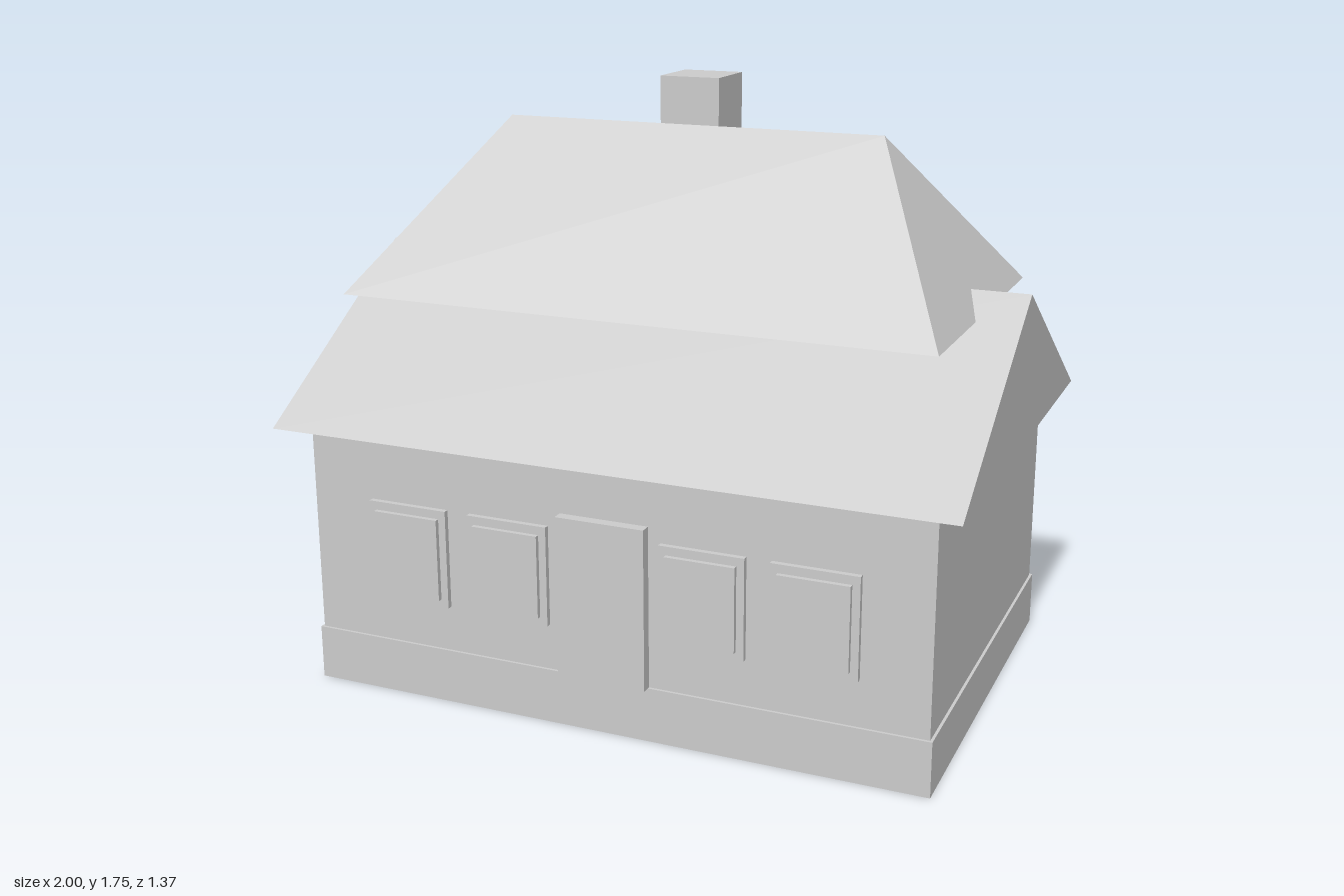
import * as THREE from 'three';

export function createModel() {
  const house = new THREE.Group();
  house.name = 'house';
  const grey = new THREE.MeshStandardMaterial({ color: 0xcccccc });
  grey.name = 'plain grey';

  const add = (name, geometry, parent = house) => {
    const mesh = new THREE.Mesh(geometry, grey);
    mesh.name = name;
    parent.add(mesh);
    return mesh;
  };

  // Box given by its lower and upper limits on each axis
  const block = (name, [x0, x1], [y0, y1], [z0, z1], parent) => {
    const mesh = add(name, new THREE.BoxGeometry(x1 - x0, y1 - y0, z1 - z0), parent);
    mesh.position.set((x0 + x1) / 2, (y0 + y1) / 2, (z0 + z1) / 2);
    return mesh;
  };

  // Closed roof: rectangular eaves rising to a ridge along x
  const roof = (name, eaveX, eaveZ, eaveY, ridgeX, ridgeY) => {
    const a = [-eaveX, eaveY, eaveZ], b = [eaveX, eaveY, eaveZ];
    const c = [eaveX, eaveY, -eaveZ], d = [-eaveX, eaveY, -eaveZ];
    const l = [-ridgeX, ridgeY, 0], r = [ridgeX, ridgeY, 0];
    const faces = [
      a, b, r, a, r, l, // front slope
      c, d, l, c, l, r, // back slope
      b, c, r, d, a, l, // ends
      a, d, c, a, c, b, // underside
    ];
    const geometry = new THREE.BufferGeometry();
    geometry.setAttribute('position', new THREE.Float32BufferAttribute(faces.flat(), 3));
    geometry.computeVertexNormals();
    return add(name, geometry);
  };

  // Body
  block('foundation', [-0.933, 0.929], [0, 0.16], [-0.608, 0.608]);
  block('walls', [-0.926, 0.921], [0.16, 0.79], [-0.6, 0.6]);
  block('door', [-0.134, 0.129], [0.16, 0.63], [0.58, 0.632]);

  // Gabled lower roof, hipped upper roof and chimney
  roof('lowerRoof', 1, 0.685, 0.79, 1, 1.215);
  roof('upperRoof', 0.873, 0.484, 1.15, 0.574, 1.62);
  block('chimney', [-0.092, 0.087], [1.25, 1.755], [-0.18, 0]);

  // Windows: a frame with a raised pane, side is 1 for the front and -1 for the back
  const addWindow = (x, side) => {
    const window = new THREE.Group();
    window.name = side > 0 ? 'frontWindow' : 'backWindow';
    const layer = (name, halfWidth, y, depth) => {
      const z = [0.59 * side, depth * side].sort((p, q) => p - q);
      block(name, [x - halfWidth, x + halfWidth], y, z, window);
    };
    layer('windowFrame', 0.123, [0.295, 0.588], 0.616);
    layer('windowPane', 0.101, [0.32, 0.563], 0.63);
    house.add(window);
  };
  [-0.611, -0.295, 0.288, 0.605].forEach((x) => addWindow(x, 1));
  [-0.525, 0.017, 0.557].forEach((x) => addWindow(x, -1));

  return house;
}
